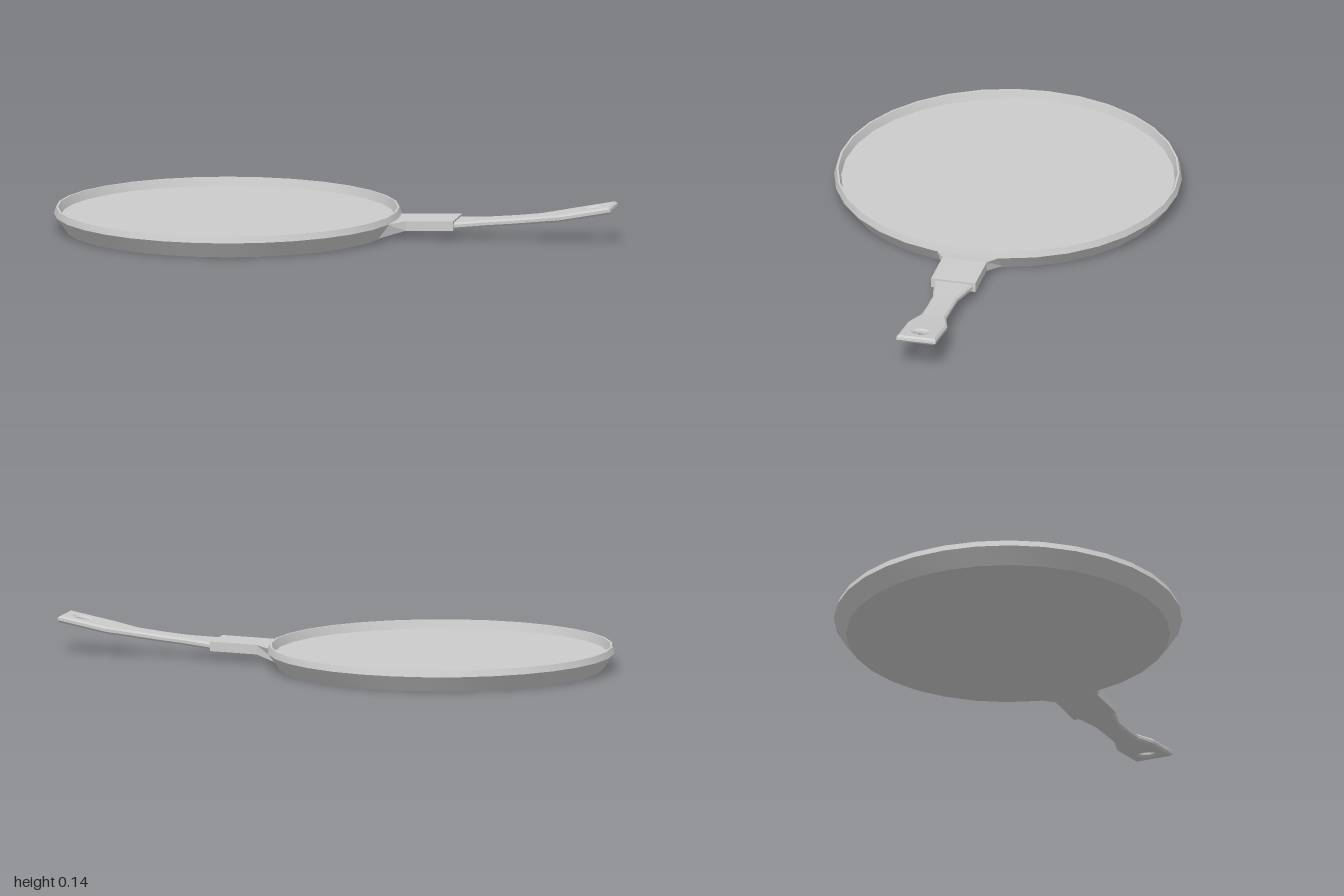
import * as THREE from 'three';
import { toCreasedNormals } from 'three/addons/utils/BufferGeometryUtils.js';

const smoothGrey = new THREE.MeshStandardMaterial({ color: 0xcccccc });
const flatGrey = new THREE.MeshStandardMaterial({ color: 0xcccccc, flatShading: true });

// Skin a row of matching rings (running towards +x) and cap both ends
function loft(rings) {
  const pos = [];
  const tri = (a, b, c) => pos.push(...a, ...b, ...c);
  const n = rings[0].length;
  for (let i = 0; i < rings.length - 1; i++) {
    for (let j = 0; j < n; j++) {
      const k = (j + 1) % n;
      const [a, b, c, d] = [rings[i][j], rings[i][k], rings[i + 1][j], rings[i + 1][k]];
      tri(a, c, b);
      tri(b, c, d);
    }
  }
  const first = rings[0], last = rings[rings.length - 1];
  for (let j = 1; j < n - 1; j++) {
    tri(first[0], first[j], first[j + 1]);
    tri(last[0], last[j + 1], last[j]);
  }
  const g = new THREE.BufferGeometry();
  g.setAttribute('position', new THREE.Float32BufferAttribute(pos, 3));
  g.computeVertexNormals();
  return g;
}

// Rectangle with chamfered corners, across the x axis
function ring(x, y, halfW, halfH, c) {
  const right = [[halfW - c, -halfH], [halfW, -halfH + c], [halfW, halfH - c], [halfW - c, halfH]];
  const left = right.map(([z, h]) => [-z, h]).reverse();
  return [...right, ...left].map(([z, h]) => [x, y + h, z]);
}

function addMesh(group, name, geometry, material) {
  const mesh = new THREE.Mesh(geometry, material);
  mesh.name = name;
  group.add(mesh);
  return mesh;
}

export function createModel() {
  const group = new THREE.Group();
  group.name = 'flatPan';

  // Shallow pan: base, flared wall, turned-in rim and cooking surface
  const profile = [[0, 0], [0.57, 0], [0.612, 0.057], [0.604, 0.08], [0.597, 0.08], [0.587, 0.05], [0, 0.05]];
  const lathe = new THREE.LatheGeometry(profile.map(([r, y]) => new THREE.Vector2(r, y)), 32, Math.PI / 2);
  const pan = addMesh(group, 'pan', toCreasedNormals(lathe, 0.4), smoothGrey);
  pan.position.x = -0.388;

  // Bracket: spreads out against the wall, then a straight socket
  const block = (xLow, xHigh, y0, y1, w) =>
    [[xLow, y0, w], [xHigh, y1, w], [xHigh, y1, -w], [xLow, y0, -w]];
  addMesh(group, 'bracket', loft([
    block(0.165, 0.205, 0.002, 0.056, 0.115),
    block(0.265, 0.265, 0.03, 0.064, 0.08),
    block(0.435, 0.435, 0.035, 0.069, 0.08),
  ]), flatGrey);

  // Curved handle with a narrow waist: x, centre height, half width
  const halfT = 0.012, bevel = 0.007;
  const stations = [
    [0.4, 0.049, 0.072], [0.44, 0.051, 0.07], [0.55, 0.059, 0.045],
    [0.64, 0.067, 0.044], [0.73, 0.077, 0.045], [0.82, 0.091, 0.071],
  ];
  addMesh(group, 'handle', loft(stations.map(([x, y, w]) => ring(x, y, w, halfT, bevel))), flatGrey);

  // Handle end: bevelled plate with a hanging hole
  const s = new THREE.Shape();
  const outline = [[-0.03, -0.055], [0, -0.064], [0.172, -0.064], [0.172, 0.064], [0, 0.064], [-0.03, 0.055]];
  s.setFromPoints(outline.map(([x, z]) => new THREE.Vector2(x, z)));
  const hole = new THREE.Path();
  hole.absarc(0.108, 0, 0.028 + bevel, 0, Math.PI * 2, true);
  s.holes.push(hole);
  const plate = new THREE.ExtrudeGeometry(s, {
    depth: 2 * (halfT - bevel), bevelEnabled: true, bevelThickness: bevel,
    bevelSize: bevel, bevelSegments: 1, curveSegments: 10,
  });
  plate.translate(0, 0, bevel - halfT);
  plate.rotateX(-Math.PI / 2);
  plate.rotateZ(0.19);
  const end = addMesh(group, 'handleEnd', plate, flatGrey);
  end.position.set(0.82, 0.091, 0);

  return group;
}
